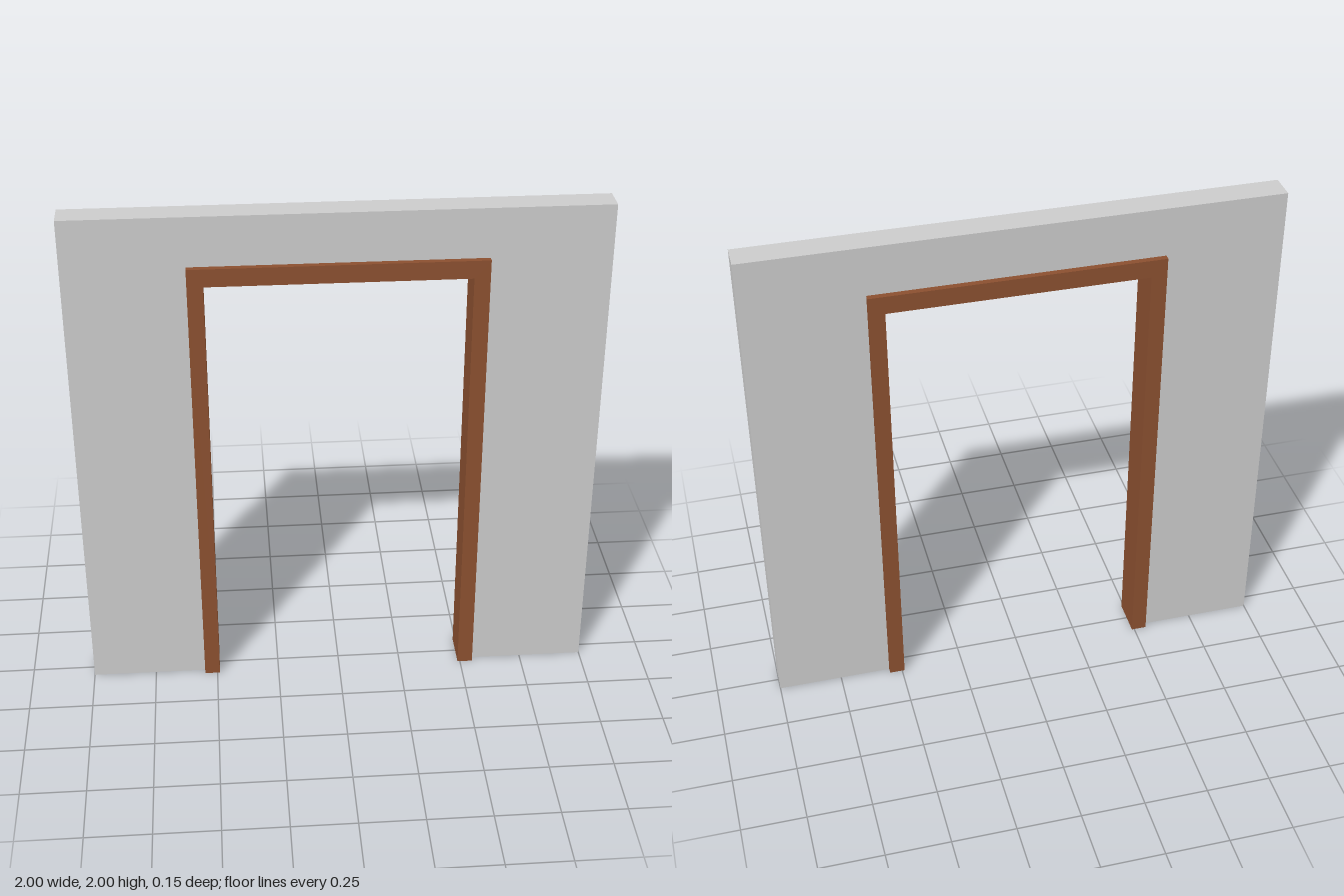
import * as THREE from 'three';

// Upside-down U outline standing on y = 0, extruded and centred on z = 0
function archway(name, outerHalf, outerTop, innerHalf, innerTop, depth, color) {
  const shape = new THREE.Shape([
    [-outerHalf, 0], [-innerHalf, 0], [-innerHalf, innerTop], [innerHalf, innerTop],
    [innerHalf, 0], [outerHalf, 0], [outerHalf, outerTop], [-outerHalf, outerTop],
  ].map(([x, y]) => new THREE.Vector2(x, y)));
  const geometry = new THREE.ExtrudeGeometry(shape, { depth, bevelEnabled: false });
  geometry.translate(0, 0, -depth / 2);
  const mesh = new THREE.Mesh(geometry, new THREE.MeshStandardMaterial({ color }));
  mesh.name = name;
  return mesh;
}

export function createModel() {
  const group = new THREE.Group();
  group.name = 'doorway';
  // Wall panel with the door opening
  group.add(archway('wall', 1, 2, 0.55, 1.807, 0.104, 0xcccccc));
  // Wooden frame lining the opening, proud of the wall on both faces
  group.add(archway('doorFrame', 0.55, 1.807, 0.49, 1.737, 0.15, 0x8b5030));
  return group;
}
